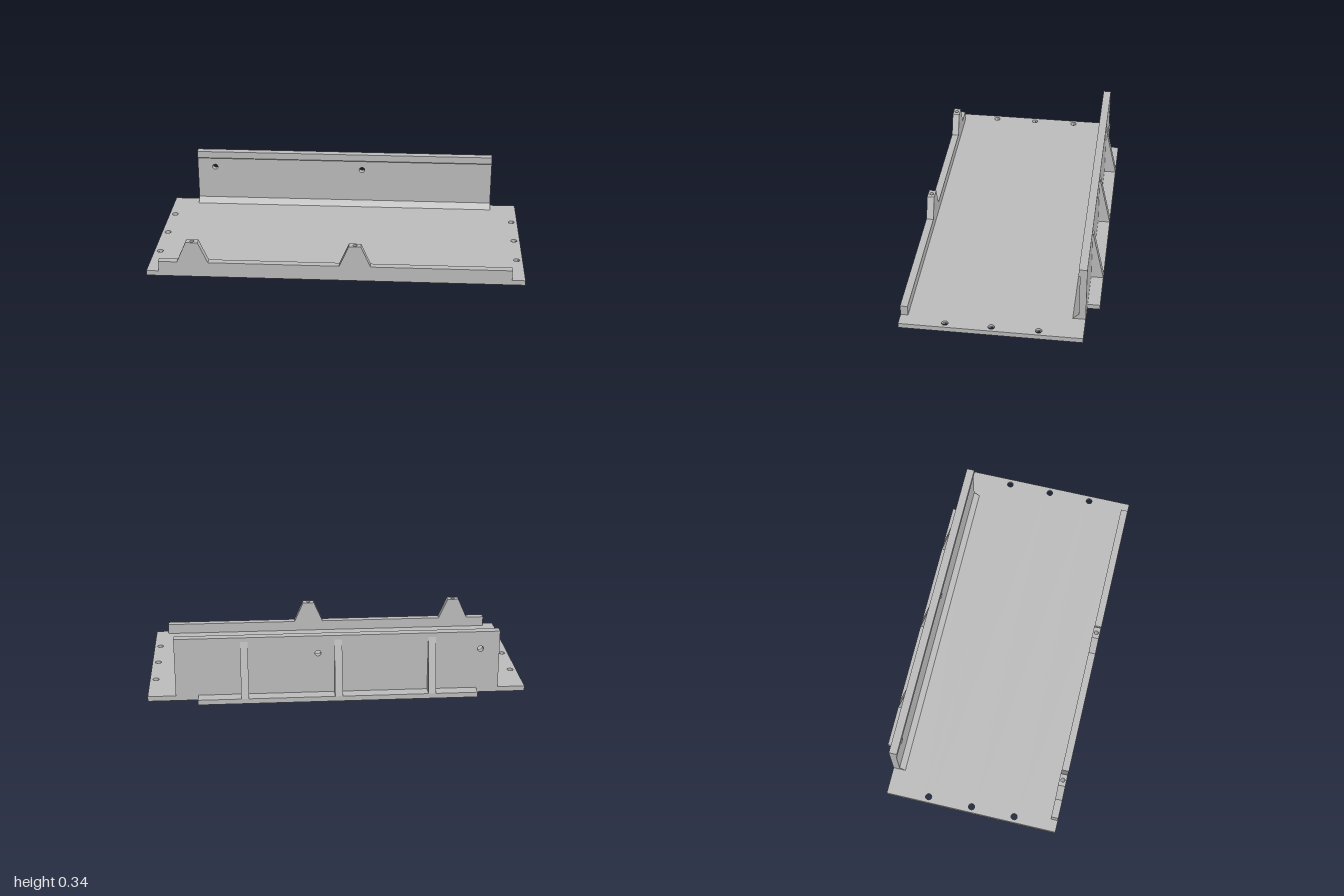
import * as THREE from 'three';

const grey = new THREE.MeshStandardMaterial({ color: 0xbcbcbc });
grey.name = 'plain grey';
const greyInside = new THREE.MeshStandardMaterial({ color: 0xbcbcbc, side: THREE.DoubleSide });
greyInside.name = 'plain grey two sided';

const BASE = 0.027; // plate thickness
const FRONT = 0.502, BACK = -0.502, WALL_BACK = -0.437, WALL_FRONT = -0.401;

function polygon(points) {
  return new THREE.Shape(points.map(([x, y]) => new THREE.Vector2(x, y)));
}

function punch(shape, x, y, radius, sides = 24) {
  const hole = [];
  for (let i = 0; i < sides; i++) {
    const a = -(i / sides) * Math.PI * 2;
    hole.push(new THREE.Vector2(x + radius * Math.cos(a), y + radius * Math.sin(a)));
  }
  shape.holes.push(new THREE.Path(hole));
}

function extrude(shape, depth) {
  return new THREE.ExtrudeGeometry(shape, { depth, bevelEnabled: false });
}

// Sweeps a [z, y] profile along x
function alongX(profile, x0, x1) {
  return extrude(polygon(profile.map(([z, y]) => [-z, y])), x1 - x0)
    .rotateY(Math.PI / 2).translate(x0, 0, 0);
}

export function createModel() {
  const model = new THREE.Group();
  model.name = 'bracket tray';
  const add = (name, geometry, material = grey, parent = model) => {
    const mesh = new THREE.Mesh(geometry, material);
    mesh.name = name;
    parent.add(mesh);
    return mesh;
  };
  const box = (name, x0, x1, y0, y1, z0, z1) => add(name,
    new THREE.BoxGeometry(x1 - x0, y1 - y0, z1 - z0)
      .translate((x0 + x1) / 2, (y0 + y1) / 2, (z0 + z1) / 2));

  // Base plate: upper layer with round screw holes, lower with hexagonal pockets
  const plateLayer = (name, y0, y1, radius, sides) => {
    const shape = polygon([[-1, WALL_BACK], [1, WALL_BACK], [1, FRONT], [-1, FRONT]]);
    for (const x of [-0.968, 0.968])
      for (const z of [-0.21, 0.03, 0.267]) punch(shape, x, z, radius, sides);
    add(name, extrude(shape, y1 - y0).rotateX(Math.PI / 2).translate(0, y1, 0));
  };
  plateLayer('basePlateTop', 0.014, BASE, 0.017, 24);
  plateLayer('basePlateBottom', 0, 0.014, 0.027, 6);
  box('backLedge', -0.737, 0.735, 0, BASE, BACK, WALL_BACK);

  // Back wall with two through holes
  const wall = polygon([[-0.855, BASE], [0.853, BASE], [0.853, 0.345], [-0.855, 0.345]]);
  for (const x of [-0.754, 0.104]) punch(wall, x, 0.248, 0.016);
  add('backWall', extrude(wall, WALL_FRONT - WALL_BACK).translate(0, 0, WALL_BACK));
  add('wallLip', alongX([[WALL_FRONT, 0.301], [-0.394, 0.307], [-0.394, 0.345],
    [WALL_FRONT, 0.345]], -0.855, 0.853));
  add('wallFillet', alongX([[WALL_FRONT, BASE], [-0.371, BASE], [WALL_FRONT, 0.057]],
    -0.855, 0.853));

  // Triangular ribs behind the wall
  for (const x of [-0.495, -0.002, 0.49])
    add('rib', alongX([[BACK, BASE], [WALL_BACK, BASE], [WALL_BACK, 0.322]],
      x - 0.02, x + 0.02));

  // Front rail and its tapered posts with blind holes
  const railBack = 0.463, railTop = 0.083, postTop = 0.198;
  const midZ = (railBack + FRONT) / 2, depth = FRONT - railBack;
  box('frontRail', -0.935, 0.93, BASE, railTop, railBack, FRONT);

  for (const x of [-0.752, 0.106]) {
    const post = new THREE.Group();
    post.name = 'post';
    post.position.set(x, 0, midZ);
    model.add(post);

    // Sloping sides, left open at the top
    const height = postTop - railTop;
    const sides = new THREE.BoxGeometry(0.165, height, depth)
      .translate(0, railTop + height / 2, 0);
    const p = sides.attributes.position;
    for (let i = 0; i < p.count; i++)
      if (p.getY(i) > railTop + 0.01) p.setX(i, Math.sign(p.getX(i)) * 0.032);
    const index = Array.from(sides.index.array);
    index.splice(12, 6);
    sides.setIndex(index);
    sides.clearGroups();
    sides.computeVertexNormals();
    add('postSides', sides, grey, post);

    const top = polygon([[-0.032, -depth / 2], [0.032, -depth / 2],
      [0.032, depth / 2], [-0.032, depth / 2]]);
    punch(top, 0, 0, 0.011);
    add('postTop', new THREE.ShapeGeometry(top).rotateX(-Math.PI / 2)
      .translate(0, postTop, 0), grey, post);

    const bore = 0.08;
    add('postBore', new THREE.CylinderGeometry(0.011, 0.011, bore, 24, 1, true)
      .translate(0, postTop - bore / 2, 0), greyInside, post);
    add('postBoreFloor', new THREE.CircleGeometry(0.011, 24).rotateX(-Math.PI / 2)
      .translate(0, postTop - bore, 0), grey, post);
  }
  return model;
}
